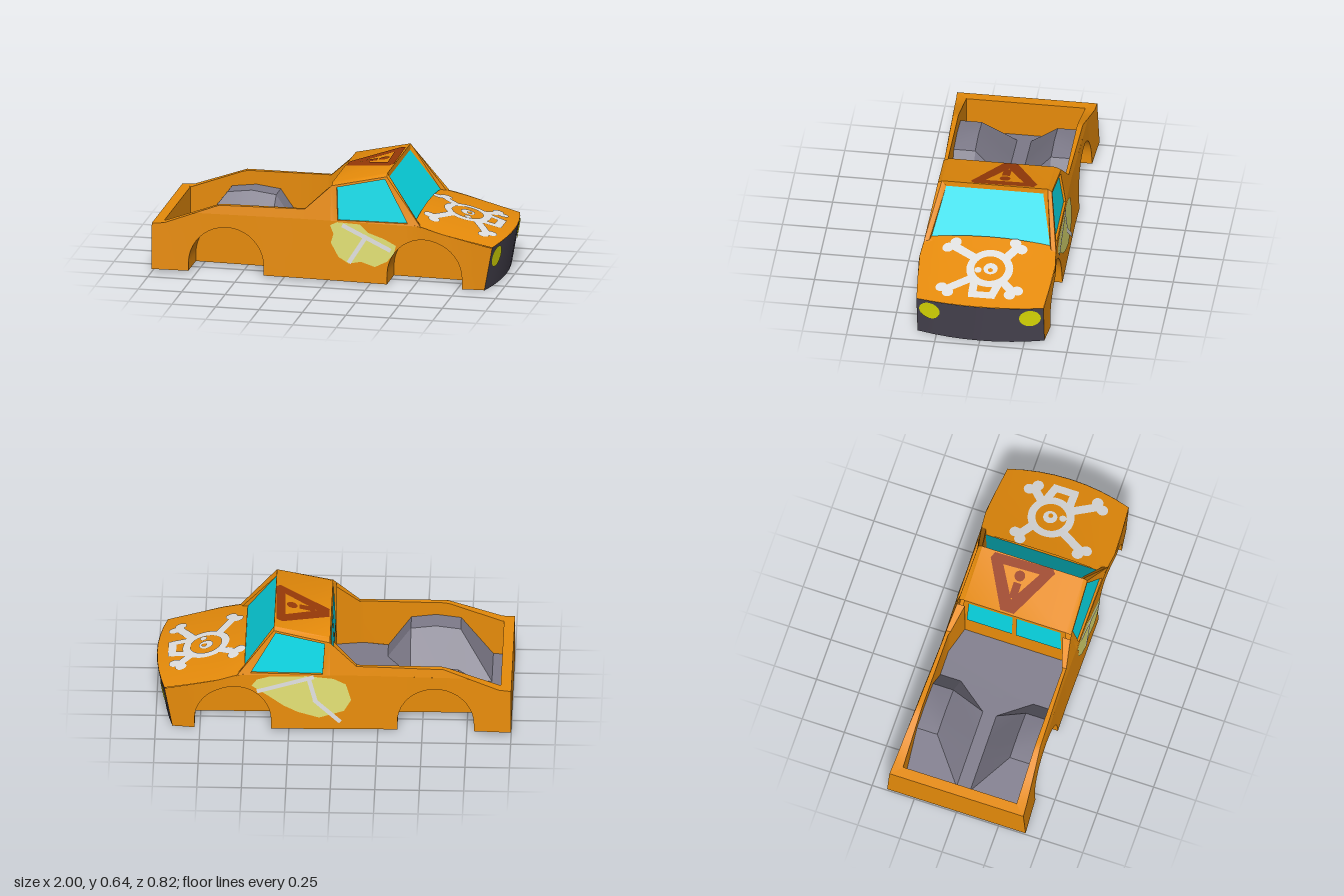
import * as THREE from 'three';
import { mergeGeometries, toCreasedNormals } from 'three/addons/utils/BufferGeometryUtils.js';

const paint = (name, color) => {
  const m = new THREE.MeshStandardMaterial({ color, side: THREE.DoubleSide });
  m.name = name;
  return m;
};

// Piecewise linear lookup in [[x, value], ...]
const lookup = (table) => (x) => {
  if (x <= table[0][0]) return table[0][1];
  for (let i = 1; i < table.length; i++) {
    const [x0, a] = table[i - 1], [x1, b] = table[i];
    if (x <= x1) return a + (b - a) * (x - x0) / (x1 - x0);
  }
  return table[table.length - 1][1];
};

// Body rules: side outline, half width, bed opening, nose and hood
const topY = lookup([[-1, 0.285], [-0.93, 0.29], [-0.62, 0.405], [-0.13, 0.41], [0.02, 0.55],
  [0.335, 0.62], [0.54, 0.355], [0.65, 0.325], [0.95, 0.25]]);
const sillY = lookup([[-1, 0.02], [0.95, 0.003]]);
const baseWidth = lookup([[-1, 0.4], [-0.75, 0.385], [-0.2, 0.371], [0.48, 0.375], [0.65, 0.388], [0.95, 0.36]]);
const flare = lookup([[-1, 0.05], [-0.5, 0.04], [-0.2, 0.05], [0.48, 0.05], [0.8, 0]]);
const BELT = 0.355, R = 0.215, ARCH_Y = 0.065, REAR_X = -0.575, FRONT_X = 0.565, WELL_Z = 0.2;
const halfWidth = (x, y) => baseWidth(x) +
  (y > BELT ? -0.17 * (y - BELT) : flare(x) * (BELT - y)) - flare(x) * 0.12;
const bedInner = lookup([[-1, 0.39], [-0.94, 0.337], [-0.15, 0.337], [0, 0.29]]);
const floorY = lookup([[-0.94, 0.07], [-0.3, 0.12], [0, 0.15]]);
const noseX = (z, y) => 1 - 0.05 * (z / 0.36) ** 2 - (0.255 - y) * 0.18;
const hoodCentre = lookup([[0.5, 0.394], [0.65, 0.35], [1, 0.265]]);
const hoodDrop = lookup([[0.5, 0.034], [0.65, 0.025]]);
const hoodY = (x, z) => hoodCentre(x) - hoodDrop(x) * (z / 0.375) ** 2;
const roofY = (x) => 0.565 + (x - 0.02) * 0.222;

// Surface through a grid of points
function surface(rows) {
  const n = rows[0].length, index = [];
  for (let i = 0; i < rows.length - 1; i++) {
    for (let j = 0; j < n - 1; j++) {
      const a = i * n + j, b = a + n;
      index.push(a, b, a + 1, a + 1, b, b + 1);
    }
  }
  const g = new THREE.BufferGeometry();
  g.setAttribute('position', new THREE.Float32BufferAttribute(rows.flat(2), 3));
  g.setIndex(index);
  return toCreasedNormals(g, 0.5);
}
// Frame between nested corner loops
const frame = (loops) => surface(loops.map((l) => [...l, l[0]]));

// Flat outlines laid on a surface by a mapping rule
function decal(shapes, map) {
  const g = mergeGeometries(shapes.map((s) => new THREE.ShapeGeometry(s, 20)));
  const p = g.attributes.position;
  for (let i = 0; i < p.count; i++) p.setXYZ(i, ...map(p.getX(i), p.getY(i)));
  g.computeVertexNormals();
  return g;
}
const poly = (pts) => new THREE.Shape(pts.map(([x, y]) => new THREE.Vector2(x, y)));
const disc = (x, y, r) => new THREE.Shape().absarc(x, y, r, 0, Math.PI * 2);
const stroke = ([x0, y0], [x1, y1], w) => {
  const l = Math.hypot(x1 - x0, y1 - y0) * 2 / w, dx = (y0 - y1) / l, dy = (x1 - x0) / l;
  return poly([[x0 + dx, y0 + dy], [x0 - dx, y0 - dy], [x1 - dx, y1 - dy], [x1 + dx, y1 + dy]]);
};
const withHole = (shape, hole) => { shape.holes.push(hole); return shape; };

// Points of a wheel arch, from sill to sill
const sill = (...xs) => xs.map((x) => [x, sillY(x)]);
function archPoints(cx) {
  const pts = sill(cx - R);
  for (let i = 0; i <= 20; i++) {
    const a = Math.PI * (1 - i / 20);
    pts.push([cx + R * Math.cos(a), ARCH_Y + R * Math.sin(a)]);
  }
  return [...pts, ...sill(cx + R)];
}
const arches = [archPoints(REAR_X), archPoints(FRONT_X)];

export function createModel() {
  const model = new THREE.Group();
  const orange = paint('orange body', 0xe88c0a), cyan = paint('cyan glass', 0x08dfec);
  const dark = paint('dark grille', 0x4a4653), grey = paint('grey bed', 0x7f7c8b);
  const yellow = paint('yellow lamp', 0xf0f004), white = paint('pale paint', 0xe0e0e0);
  const olive = paint('faded yellow paint', 0xe2e074), brown = paint('brown paint', 0x983a08);
  const add = (name, geometry, material) => {
    const m = new THREE.Mesh(geometry, material);
    m.name = name;
    model.add(m);
  };

  // Lower edge of the side, running over both arches
  const edge = [...sill(-1, -0.93, -0.85), ...arches[0], ...sill(-0.2, -0.13, 0.02, 0.2, 0.335),
    ...arches[1], ...sill(0.85, 0.95)];
  const skin = (s, x, y, off = 0) => {
    const lean = x > 0.78 ? (topY(x) - y) * 0.18 * (x - 0.78) / 0.17 : 0;
    return [x - lean, y, s * (halfWidth(x, y) + off)];
  };
  const windowCorners = [[0.062, 0.36], [0.05, 0.543], [0.325, 0.605], [0.465, 0.365]];

  // Painted patch and bolt, different on each side
  const patches = {
    left: [[0.02, 0.33], [0.06, 0.35], [0.19, 0.345], [0.24, 0.3], [0.33, 0.27], [0.4, 0.235], [0.39, 0.19],
      [0.35, 0.14], [0.28, 0.105], [0.2, 0.13], [0.13, 0.115], [0.07, 0.15], [0.025, 0.23], [0.04, 0.28]],
    right: [[0.46, 0.285], [0.43, 0.325], [0.36, 0.345], [0.15, 0.35], [0, 0.335], [-0.07, 0.3], [-0.1, 0.2],
      [-0.06, 0.13], [0.08, 0.085], [0.2, 0.12], [0.28, 0.16], [0.37, 0.225]],
  };
  const bolts = {
    left: [[0.09, 0.335, 0.24, 0.265], [0.23, 0.28, 0.13, 0.12], [0.21, 0.28, 0.37, 0.205]],
    right: [[0.43, 0.25, 0.11, 0.345], [0.14, 0.34, 0.1, 0.19], [0.11, 0.2, -0.04, 0.06]],
  };

  for (const s of [1, -1]) {
    const side = s > 0 ? 'left' : 'right';
    const onSide = (off) => (x, y) => skin(s, x, y, off);
    // Side panel below the belt line, and bed side above it
    add(side + 'SidePanel', surface(edge.map(([x, y]) => {
      const t = Math.min(topY(x), BELT);
      return [0, 0.33, 0.67, 1].map((f) => skin(s, x, y + (t - y) * f));
    })), orange);
    add(side + 'BedSide', surface([-0.755, -0.62, -0.4, -0.2, -0.13, -0.05, 0.02]
      .map((x) => [skin(s, x, BELT), skin(s, x, Math.max(topY(x), BELT))])), orange);

    // Door frame with a sunken side window
    const corners = [[0.02, BELT], [0.02, 0.55], [0.335, 0.62], [0.54, BELT]];
    add(side + 'DoorFrame', frame([corners.map((c) => skin(s, ...c)), windowCorners.map((c) => skin(s, ...c)),
      windowCorners.map((c) => skin(s, ...c, -0.014))]), orange);
    add(side + 'Window', decal([poly(windowCorners)], onSide(-0.013)), cyan);

    // Bed rail and inner wall, stopping above the wheel well
    const railEdge = [[-1, 0.07], [-0.94, 0.07], [-0.93, 0.07], ...arches[0].slice(1, -1),
      ...[-0.35, -0.15, -0.13, -0.07, 0].map((x) => [x, floorY(x)])];
    add(side + 'BedRail', surface(railEdge.map(([x, bottom]) => {
      const y = topY(x), z = s * bedInner(x);
      return [skin(s, x, y), [x, y, z], [x, bottom, z]];
    })), orange);

    // Wheel wells
    for (const arch of arches) {
      add(side + 'WheelWell', surface(arch.map(([x, y]) => [skin(s, x, y), [x, y, s * WELL_Z]])), orange);
      add(side + 'WellWall', surface(arch.map(([x, y]) => [[x, y, s * WELL_Z], [x, sillY(x), s * WELL_Z]])), orange);
    }

    // Hump over the rear wheel inside the bed
    const hump = [[-0.88, 0], [-0.7, 0.31], [-0.56, 0.328], [-0.42, 0.31], [-0.29, 0]];
    add(side + 'BedHump', surface(hump.map(([x, y]) => {
      const top = Math.max(y, floorY(x));
      return [[x, top, s * 0.336], [x, top, s * 0.215], [x, floorY(x), s * 0.04]];
    })), grey);

    add(side + 'PaintPatch', decal([poly(patches[side])], onSide(0.003)), olive);
    add(side + 'PaintBolt', decal(bolts[side].map(([x, y, x1, y1]) => stroke([x, y], [x1, y1], 0.025)), onSide(0.005)), white);

    // Headlamp and rear window pane
    add(side + 'Headlamp', decal([disc(s * 0.285, 0.185, 0.06)], (z, y) => [noseX(z, y) + 0.005, y, z]), yellow);
    add(side + 'RearPane', decal([poly([[0.012, 0.31], [0.28, 0.31], [0.272, 0.548], [0.012, 0.548]])],
      (z, y) => [0.02 * (y - 0.15) / 0.415 - 0.004, y, s * z]), cyan);
  }

  // Tailgate
  const wr = halfWidth(-1, 0.02), wt = halfWidth(-1, 0.285);
  add('tailgate', surface([[-1, 0.02, wr], [-1, 0.285, wt], [-0.94, 0.289, 0.337], [-0.94, 0.07, 0.337]]
    .map(([x, y, z]) => [[x, y, -z], [x, y, z]])), orange);
  // Bed floor, narrowed between the wheel wells
  add('bedFloor', surface([[-0.94, 0.337], [-0.79, 0.337], [-0.79, WELL_Z], [-0.36, WELL_Z], [-0.36, 0.337],
    [-0.3, 0.337], [0, 0.337]].map(([x, z]) => [[x, floorY(x), -z], [x, floorY(x), z]])), grey);

  // Underside, notched at the wheels
  add('underside', surface(edge.map(([x, y]) => {
    const [px, py, pz] = skin(1, x, sillY(x));
    const z = y > py + 0.001 ? WELL_Z : pz;
    return [[px, py, -z], [px, py, z]];
  })), orange);

  // Cabin: rear wall and roof with beveled edges
  const across = (x, y) => {
    const w = halfWidth(x, topY(x));
    return [[x, topY(x), -w], [x, y, -0.3], [x, y, 0.3], [x, topY(x), w]];
  };
  add('cabinRearWall', surface([[[0, 0.15, -0.335], [0, 0.15, 0.335]], [[0.02, 0.565, -0.3], [0.02, 0.565, 0.3]]]), orange);
  add('roof', surface([across(0.02, 0.565), across(0.335, 0.635)]), orange);

  // Sunken windshield in its frame
  const loop = ([xt, yt, zt], [xb, yb, zb]) => [[xt, yt, zt], [xb, yb, zb], [xb, yb, -zb], [xt, yt, -zt]];
  const pane = loop([0.338, 0.605, 0.275], [0.5, 0.365, 0.336]);
  add('windshieldFrame', frame([loop([0.335, 0.62, halfWidth(0.335, 0.62)], [0.54, BELT, halfWidth(0.54, BELT)]),
    loop([0.335, 0.635, 0.3], [0.53, 0.36, 0.345]), pane]), orange);
  add('windshield', surface([[pane[0], pane[3]], [pane[1], pane[2]]]), cyan);

  // Hood and nose
  const span = [-1, -0.75, -0.5, -0.25, 0, 0.25, 0.5, 0.75, 1];
  add('hood', surface([0, 0.15, 0.3, 0.65, 1].map((t) => span.map((f) => {
    const x = 0.5 + (noseX(0.36 * f, 0.255) - 0.5) * t;
    const z = f * (x < 0.54 ? 0.373 : halfWidth(Math.min(x, 0.95), topY(x)));
    return [x, hoodY(x, z), z];
  }))), orange);
  add('grille', surface([0, 0.5, 1].map((t) => span.map((f) => {
    const z = 0.36 * f, y = hoodY(noseX(z, 0.255), z) * t;
    return [noseX(z, y), y, z];
  }))), dark);
  // Sill closing the underside to the nose
  add('noseSill', surface([span.map((f) => [0.9, 0.003, 0.36 * f]), span.map((f) => [noseX(0.36 * f, 0), 0, 0.36 * f])]), orange);

  // Painted skull and crossed bones on the hood
  const skull = [withHole(disc(0.725, -0.025, 0.132), disc(0.725, -0.025, 0.088)),
    withHole(disc(0.725, -0.03, 0.04), disc(0.735, -0.03, 0.014)), disc(0.74, 0.04, 0.02),
    stroke([0.82, -0.09], [0.92, -0.06], 0.045), stroke([0.915, -0.08], [0.915, 0.07], 0.045),
    stroke([0.82, 0.05], [0.92, 0.05], 0.045)];
  const bones = [[0.55, -0.165, 0.65, -0.1], [0.88, -0.18, 0.8, -0.1], [0.57, 0.21, 0.66, 0.06], [0.89, 0.21, 0.79, 0.05]];
  for (const [x, z, x1, z1] of bones) {
    const k = Math.sign(z) * Math.sign(x - 0.7) * 0.02;
    skull.push(stroke([x, z], [x1, z1], 0.05), disc(x - 0.018, z + k, 0.032), disc(x + 0.018, z - k, 0.032));
  }
  add('hoodPaint', decal(skull, (x, z) => [x, hoodY(x, z) + 0.005, z]), white);

  // Painted warning triangle on the roof
  const sign = [withHole(poly([[0.03, -0.09], [0.29, -0.235], [0.325, -0.22], [0.333, 0.12], [0.31, 0.14], [0.03, -0.01]]),
    poly([[0.1, -0.05], [0.275, -0.155], [0.282, 0.06]])),
    stroke([0.11, -0.045], [0.2, -0.045], 0.045), disc(0.24, -0.045, 0.03)];
  add('roofPaint', decal(sign, (x, z) => [x, roofY(x) + 0.003, z]), brown);

  return model;
}
